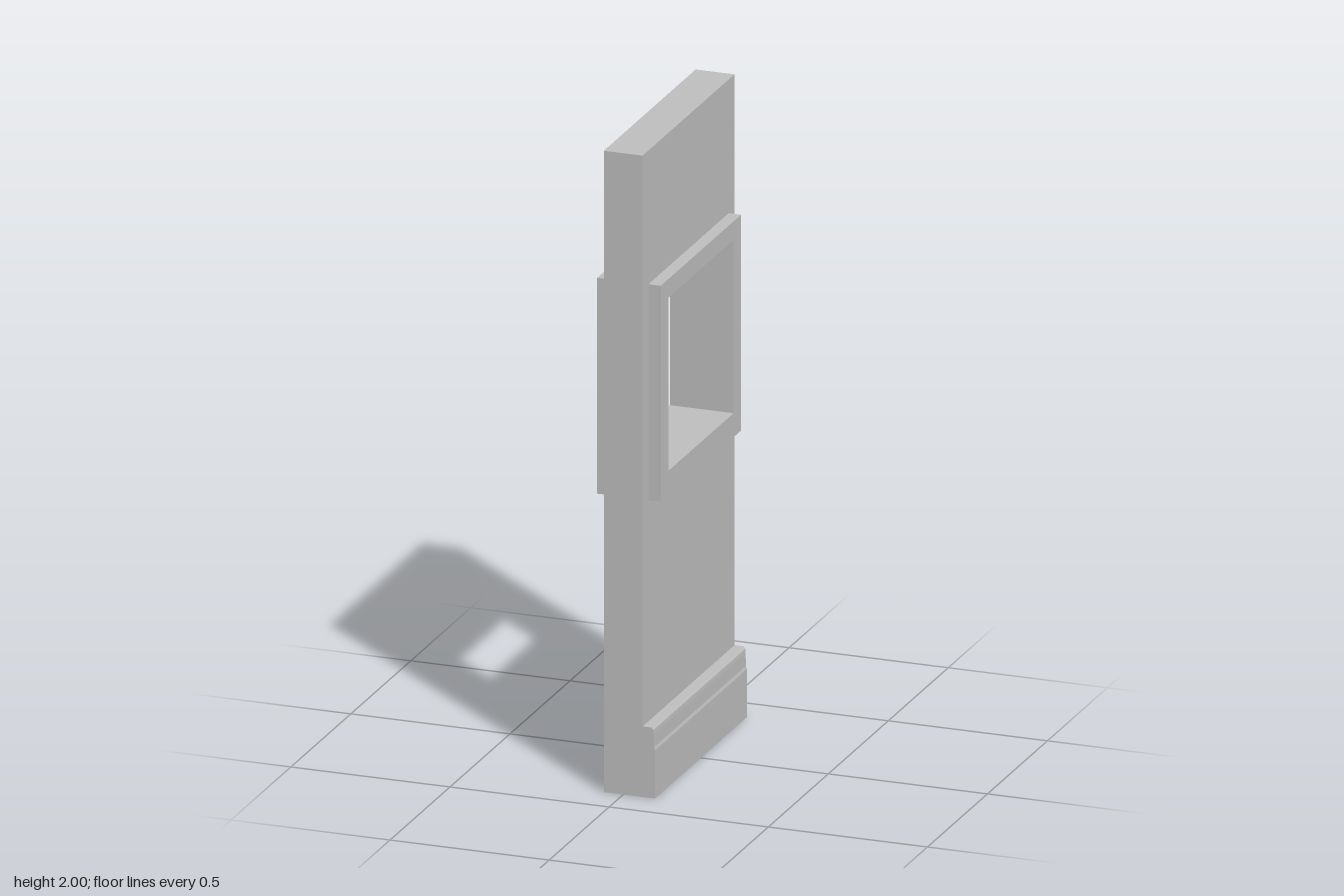
import * as THREE from 'three';

const HALF = 0.061;   // half the wall thickness
const OUT = 0.1;      // reach of the trim from the centre

// Rectangle in the (z, y) plane, symmetric about z = 0
function rect(halfW, y0, y1, Type = THREE.Shape) {
  const s = new Type();
  s.moveTo(-halfW, y0);
  s.lineTo(halfW, y0);
  s.lineTo(halfW, y1);
  s.lineTo(-halfW, y1);
  s.closePath();
  return s;
}

// Panel with the window opening, running from x0 to x1
function panel(name, halfW, y0, y1, x0, x1, material) {
  const shape = rect(halfW, y0, y1);
  shape.holes.push(rect(0.272, 0.985, 1.525, THREE.Path));
  const geo = new THREE.ExtrudeGeometry(shape, { depth: x1 - x0, bevelEnabled: false });
  geo.rotateY(Math.PI / 2).translate(x0, 0, 0);
  const mesh = new THREE.Mesh(geo, material);
  mesh.name = name;
  return mesh;
}

export function createModel() {
  const group = new THREE.Group();
  group.name = 'wallWithWindow';
  const grey = new THREE.MeshStandardMaterial({ color: 0xbfbfbf });
  grey.name = 'plain grey';

  // Wall slab and the raised frame on each face
  group.add(panel('wall', 0.383, 0, 2, -HALF, HALF, grey));
  group.add(panel('windowFrameLeft', 0.335, 0.91, 1.583, HALF, OUT, grey));
  group.add(panel('windowFrameRight', 0.335, 0.91, 1.583, -OUT, -HALF, grey));

  // Baseboard with a shallow moulded top, on the left face only
  const profile = new THREE.Shape([
    [HALF, 0], [OUT, 0], [OUT, 0.15], [0.097, 0.16], [0.096, 0.2],
    [0.095, 0.213], [0.09, 0.22], [HALF, 0.22],
  ].map(([x, y]) => new THREE.Vector2(x, y)));
  const base = new THREE.ExtrudeGeometry(profile, { depth: 0.766, bevelEnabled: false });
  base.translate(0, 0, -0.383);
  const baseboard = new THREE.Mesh(base, grey);
  baseboard.name = 'baseboard';
  group.add(baseboard);

  return group;
}
